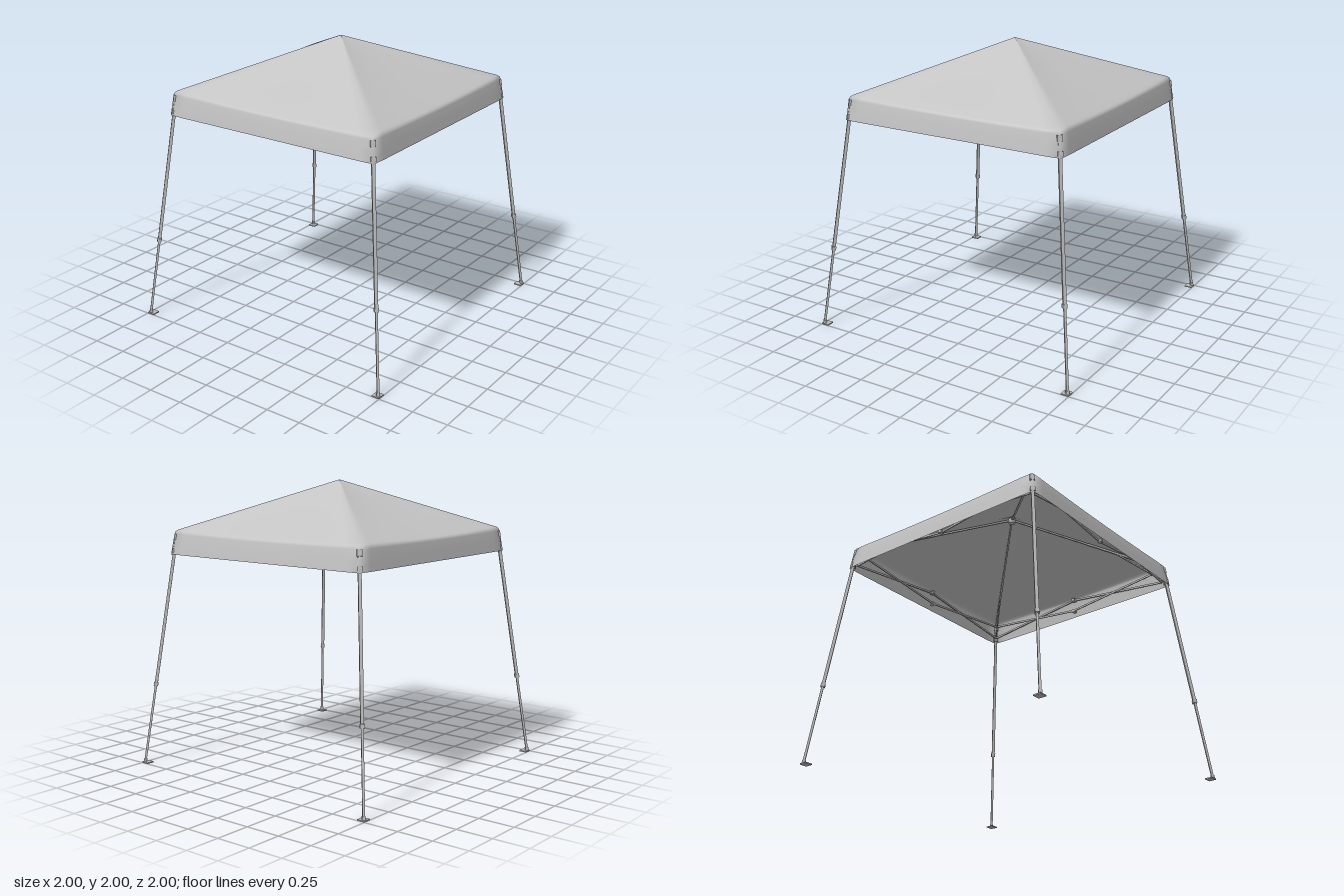
import * as THREE from 'three';

const fabric = new THREE.MeshStandardMaterial({ color: 0xc4c4c4, side: THREE.DoubleSide });
fabric.name = 'grey fabric';
const metal = new THREE.MeshStandardMaterial({ color: 0xbcbcbc });
metal.name = 'grey metal';

const V = (x, y, z) => new THREE.Vector3(x, y, z);

// Square tube between two points
function bar(name, a, b, w, d = w) {
  const mesh = new THREE.Mesh(new THREE.BoxGeometry(w, d, a.distanceTo(b)), metal);
  mesh.name = name;
  mesh.position.copy(a).add(b).multiplyScalar(0.5);
  mesh.lookAt(b);
  return mesh;
}

// Height of the cloth at half-width r; u runs -1..1 across a side
function roofHeight(r, u) {
  const sag = 0.014 * Math.sin(Math.PI * Math.min(r / 0.8, 1)) + 0.015 * (r / 0.8) ** 4;
  return 2 - 0.425 * r - sag * (1 - u * u);
}

// Cloth skin made of square rings from the peak to the hem
function canopyGeometry() {
  const rings = [];
  for (const r of [0, 0.04, 0.1, 0.2, 0.3, 0.4, 0.5, 0.6, 0.7, 0.77, 0.797])
    rings.push([r, (u) => roofHeight(r, u)]);
  for (const [r, y, drop] of [[0.81, 1.65, 0.012], [0.816, 1.632, 0.008], [0.826, 1.56, 0], [0.835, 1.49, 0]])
    rings.push([r, (u) => y - drop * (1 - u * u)]);

  const n = 16, around = n * 4, pos = [], index = [];
  for (const [r, height] of rings) {
    for (let j = 0; j < around; j++) {
      const u = ((j % n) / n) * 2 - 1;
      // corners are very slightly rounded
      const k = Math.abs(u) === 1 ? 0.994 : 1;
      const p = V(u * r * k, height(u), r * k);
      p.applyAxisAngle(V(0, 1, 0), Math.floor(j / n) * Math.PI / 2);
      pos.push(p.x, p.y, p.z);
    }
  }
  for (let i = 0; i < rings.length - 1; i++) {
    for (let j = 0; j < around; j++) {
      const a = i * around + j, b = i * around + (j + 1) % around;
      const c = a + around, d = b + around;
      if (i > 0) index.push(a, c, b);
      index.push(b, c, d);
    }
  }
  const g = new THREE.BufferGeometry();
  g.setAttribute('position', new THREE.Float32BufferAttribute(pos, 3));
  g.setIndex(index);
  g.computeVertexNormals();
  return g;
}

// Slanted telescopic leg for the +x +z corner
function makeLeg() {
  const leg = new THREE.Group();
  leg.name = 'leg';
  const at = (y) => { const s = 0.985 - 0.114 * y; return V(s, y, s); };
  leg.add(bar('upperLeg', at(0.57), at(1.62), 0.022));
  leg.add(bar('lowerLeg', at(0.005), at(0.6), 0.016));
  leg.add(bar('legClamp', at(0.56), at(0.585), 0.03));
  leg.add(bar('cornerBracket', at(1.59), at(1.63), 0.034));
  leg.add(bar('cornerSlider', at(1.5), at(1.53), 0.034));

  // foot plate and its socket
  const foot = new THREE.Mesh(new THREE.BoxGeometry(0.056, 0.008, 0.056), metal);
  foot.name = 'footPlate';
  foot.position.set(0.972, 0.004, 0.972);
  leg.add(foot, bar('footSocket', at(0.006), at(0.03), 0.022));

  // roof pole under the hip, bending with the cloth
  const hip = (r) => V(r, roofHeight(r, 1) - 0.03, r);
  leg.add(bar('roofPoleOuter', hip(0.79), hip(0.4), 0.014));
  leg.add(bar('roofPoleInner', hip(0.41), hip(0.005), 0.012));
  leg.add(bar('roofStrut', at(1.515), hip(0.55), 0.01));
  return leg;
}

// Folding scissor truss along the front side: two crossed pairs
function makeTruss() {
  const truss = new THREE.Group();
  truss.name = 'scissorTruss';
  const z = 0.79, low = 1.515, high = 1.61;
  for (const s of [-1, 1]) {
    truss.add(bar('scissorBar', V(s * 0.79, low, z), V(0, high, z - 0.006), 0.008, 0.014));
    truss.add(bar('scissorBar', V(s * 0.79, high, z - 0.012), V(0, low, z - 0.018), 0.008, 0.014));
  }
  for (const y of [low, high]) {
    const joint = new THREE.Mesh(new THREE.BoxGeometry(0.024, 0.024, 0.03), metal);
    joint.name = 'scissorJoint';
    joint.position.set(0, y, z - 0.01);
    truss.add(joint);
  }
  return truss;
}

export function createModel() {
  const model = new THREE.Group();
  model.name = 'canopyTent';

  const canopy = new THREE.Mesh(canopyGeometry(), fabric);
  canopy.name = 'canopy';
  model.add(canopy);

  // one leg and one truss for each quarter turn
  for (let k = 0; k < 4; k++) {
    const quarter = new THREE.Group();
    quarter.name = 'frameQuarter';
    quarter.add(makeLeg(), makeTruss());
    quarter.rotation.y = k * Math.PI / 2;
    model.add(quarter);
  }

  // hub where the roof poles meet
  const hub = new THREE.Mesh(new THREE.CylinderGeometry(0.025, 0.025, 0.035, 12), metal);
  hub.name = 'peakHub';
  hub.position.y = 1.96;
  model.add(hub);
  return model;
}
